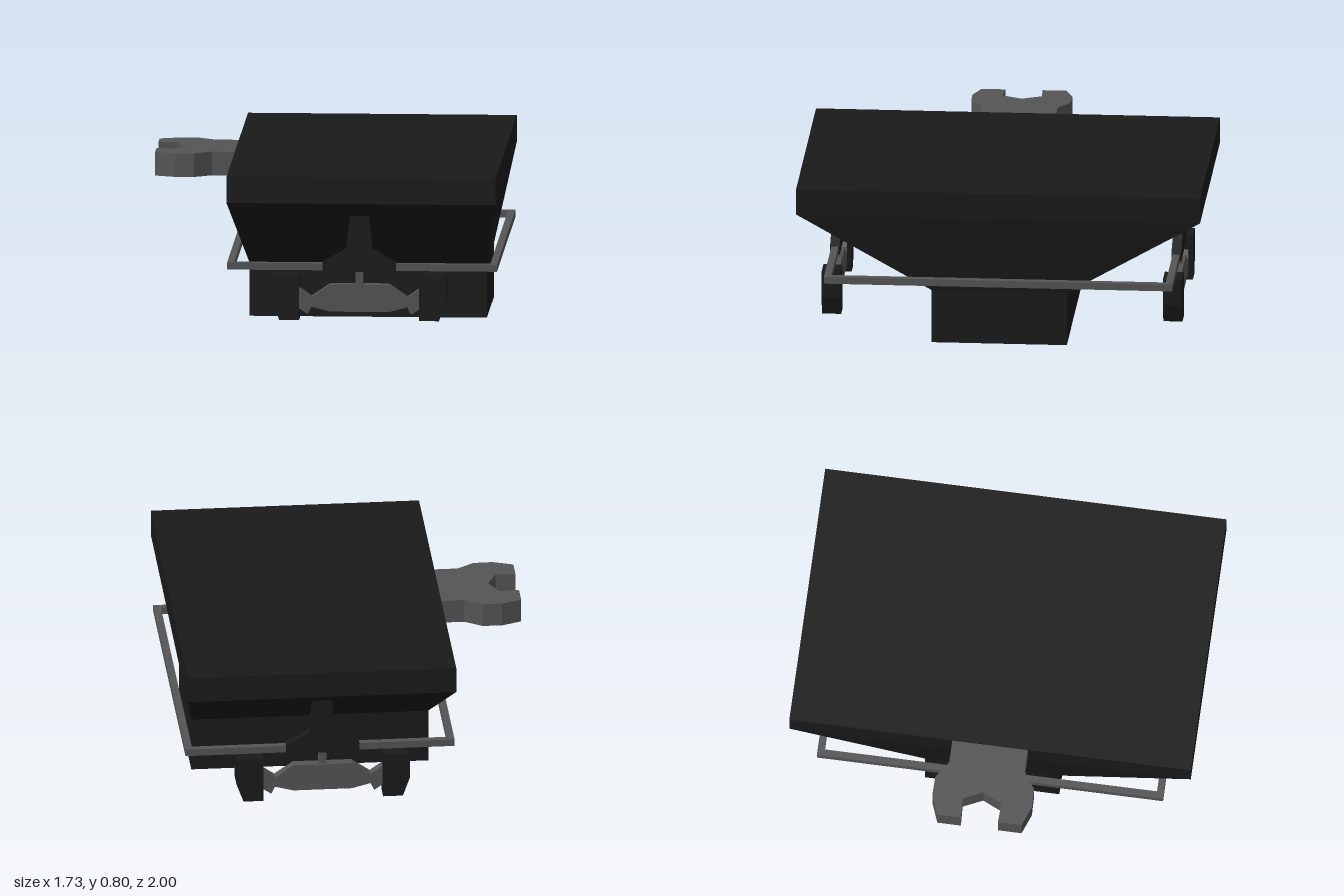
import * as THREE from 'three';

const dark = new THREE.MeshStandardMaterial({ color: 0x1a1a1a, flatShading: true });
const grey = new THREE.MeshStandardMaterial({ color: 0x555555, flatShading: true });

const CX = 0.195; // middle of the hull
const AX = 0.18;  // middle of the running gear

function add(parent, name, geometry, material, x = 0, y = 0, z = 0) {
  const mesh = new THREE.Mesh(geometry, material);
  mesh.name = name;
  mesh.position.set(x, y, z);
  parent.add(mesh);
  return mesh;
}

const shapeOf = (pts) => new THREE.Shape(pts.map(([x, y]) => new THREE.Vector2(x, y)));

// Closed outline from its left half, mirrored across x = 0
const mirrorX = (half) => [...half, ...half.map(([x, y]) => [-x, y]).reverse()];

// Plate in the xy plane, centred on z = 0
function plate(pts, depth) {
  const g = new THREE.ExtrudeGeometry(shapeOf(pts), { depth, bevelEnabled: false });
  return g.translate(0, 0, -depth / 2);
}

// Flat slab lying in the xz plane, from y = 0 upward
function slab(shape, height) {
  return new THREE.ExtrudeGeometry(shape, { depth: height, bevelEnabled: false }).rotateX(-Math.PI / 2);
}

// Box whose lower end is narrowed
function taperedBox(w, h, d, lowW, lowD) {
  const g = new THREE.BoxGeometry(w, h, d);
  const p = g.attributes.position;
  for (let i = 0; i < p.count; i++) {
    if (p.getY(i) < 0) p.setXYZ(i, p.getX(i) * lowW / w, p.getY(i), p.getZ(i) * lowD / d);
  }
  g.computeVertexNormals();
  return g;
}

const rect = (w, d) => [[-w / 2, -d / 2], [w / 2, -d / 2], [w / 2, d / 2], [-w / 2, d / 2]];

// Wheel pair, axle, stem and bracket at one end
function runningGear(name) {
  const gear = new THREE.Group();
  gear.name = name;

  const bracket = mirrorX([[-0.182, 0.31], [-0.182, 0.352], [-0.066, 0.42], [-0.046, 0.59]]);
  add(gear, 'bracket', plate(bracket, 0.048), dark);
  add(gear, 'stem', new THREE.BoxGeometry(0.038, 0.09, 0.035), grey, 0, 0.275, 0);

  const axle = mirrorX([
    [0, 0.11], [-0.145, 0.11], [-0.237, 0.134], [-0.255, 0.097], [-0.298, 0.125],
    [-0.298, 0.226], [-0.237, 0.183], [-0.145, 0.246], [0, 0.246],
  ].slice(1, 8));
  add(gear, 'axle', plate(axle, 0.05), grey);

  // Blocky wheels with the outer lower corner cut away
  for (const s of [-1, 1]) {
    const wheel = [[0.297, 0.295], [0.43, 0.295], [0.43, 0.165], [0.395, 0.07], [0.297, 0.07]];
    add(gear, s < 0 ? 'rightWheel' : 'leftWheel', plate(wheel.map(([x, y]) => [x * s, y]), 0.095), dark);
  }
  return gear;
}

export function createModel() {
  const model = new THREE.Group();
  model.name = 'hopperCart';

  // Hull: rim, sloping middle and lower box
  add(model, 'rim', new THREE.BoxGeometry(1.33, 0.13, 2), dark, CX, 0.735, 0);
  add(model, 'slopedHull', taperedBox(1.33, 0.4, 2, 1.175, 0.67), dark, CX, 0.47, 0);
  add(model, 'lowerBox', new THREE.BoxGeometry(1.175, 0.27, 0.67), dark, CX, 0.135, 0);

  // Rectangular frame around the hull
  const ring = shapeOf(rect(1.335, 1.725));
  ring.holes.push(new THREE.Path(rect(1.265, 1.655).map(([x, y]) => new THREE.Vector2(x, y))));
  add(model, 'frame', slab(ring, 0.035), grey, 0.193, 0.315, 0);

  // Forked coupling on the right side
  const half = [
    [-0.45, 0.188], [-0.585, 0.188], [-0.67, 0.246], [-0.765, 0.248],
    [-0.865, 0.21], [-0.865, 0.092], [-0.765, 0.097],
  ];
  const fork = [...half, [-0.72, 0], ...half.map(([x, z]) => [x, -z]).reverse()];
  add(model, 'coupling', slab(shapeOf(fork), 0.118), grey, 0, 0.677, 0);

  // Running gear at both ends
  for (const s of [1, -1]) {
    const gear = runningGear(s > 0 ? 'frontGear' : 'backGear');
    gear.position.set(AX, 0, s * 0.845);
    model.add(gear);
  }
  return model;
}
